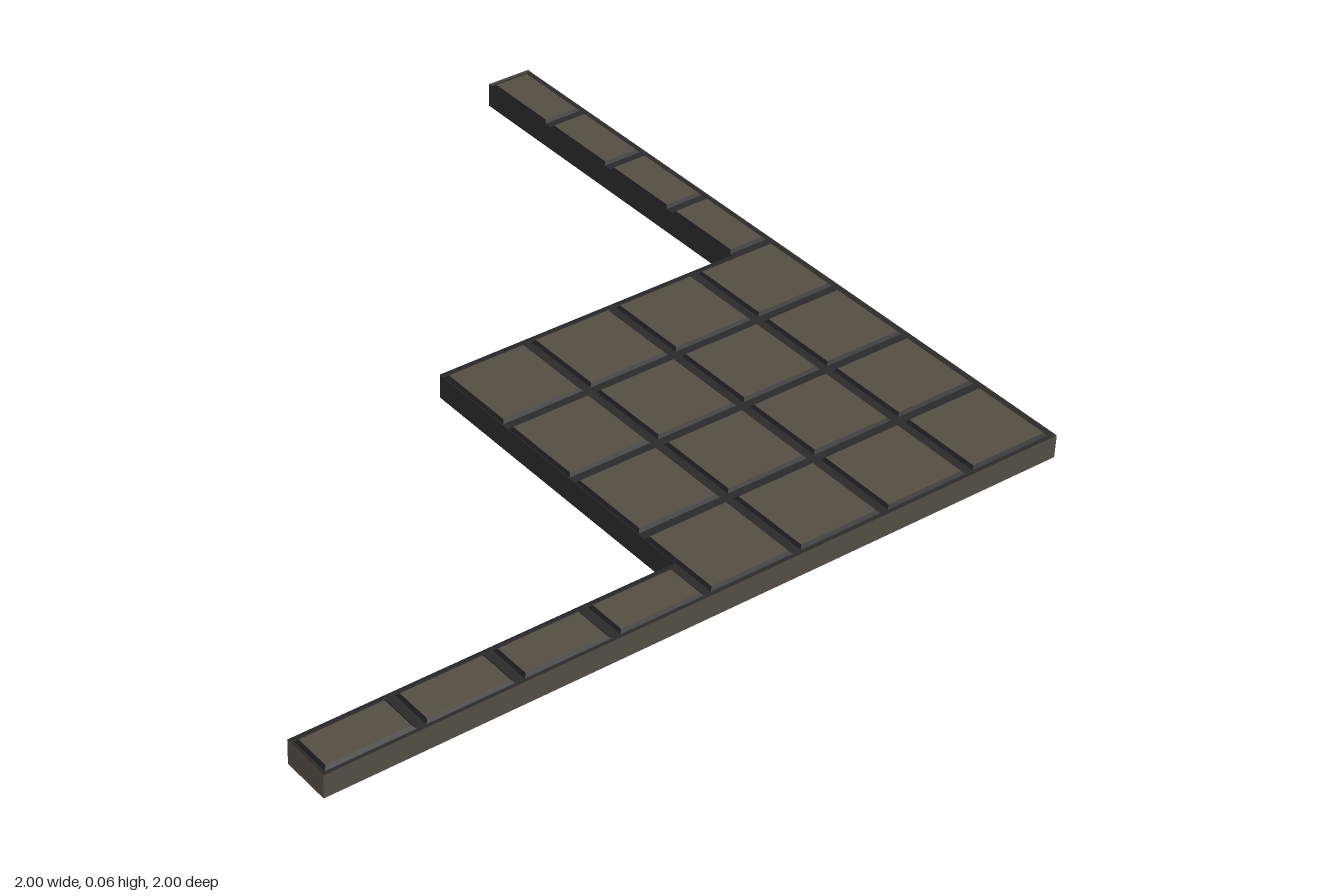
import * as THREE from 'three';

const stone = new THREE.MeshStandardMaterial({ color: 0x544e44 });
stone.name = 'stone';
const grout = new THREE.MeshStandardMaterial({ color: 0x2b2b2c });
grout.name = 'dark grout';
const edge = new THREE.MeshStandardMaterial({ color: 0x1b1b1d });
edge.name = 'tile edge';

const FLOOR = 0.058, TOP = 0.065, INNER = 0.87;

// Plan corners as [x, z], each with the colour of the wall that starts there
const OUTLINE = [
  [-1, 1, stone], [1, 1, stone], [1, -1, stone], [INNER, -1, grout],
  [INNER, 0, grout], [0, 0, grout], [0, INNER, grout], [-1, INNER, stone],
];

// Flat plan-shaped face, looking up (+1) or down (-1)
function planFace(name, y, facing, material) {
  const shape = new THREE.Shape(OUTLINE.map(([x, z]) => new THREE.Vector2(x, -z * facing)));
  const geometry = new THREE.ShapeGeometry(shape).rotateX(-facing * Math.PI / 2).translate(0, y, 0);
  const mesh = new THREE.Mesh(geometry, material);
  mesh.name = name;
  return mesh;
}

// Raised tile with sloping dark edges and a stone top
function tile(x0, x1, z0, z1) {
  const w = x1 - x0, d = z1 - z0, bevel = 0.007;
  const geometry = new THREE.BoxGeometry(w, TOP - FLOOR, d);
  const p = geometry.attributes.position;
  for (let i = 0; i < p.count; i++) {
    if (p.getY(i) > 0) {
      p.setX(i, p.getX(i) * (1 - 2 * bevel / w));
      p.setZ(i, p.getZ(i) * (1 - 2 * bevel / d));
    }
  }
  geometry.computeVertexNormals();
  const mesh = new THREE.Mesh(geometry, [edge, edge, stone, edge, edge, edge]);
  mesh.name = 'tile';
  mesh.position.set((x0 + x1) / 2, (FLOOR + TOP) / 2, (z0 + z1) / 2);
  return mesh;
}

export function createModel() {
  const model = new THREE.Group();
  model.name = 'tiledCornerFloor';
  model.add(planFace('groutBed', FLOOR, 1, grout), planFace('underside', 0, -1, stone));

  // Walls around the plan; the inner ones stand a little taller
  const walls = new THREE.Group();
  walls.name = 'walls';
  OUTLINE.forEach(([x, z, material], i) => {
    const [nx, nz] = OUTLINE[(i + 1) % OUTLINE.length];
    const height = i < 2 ? 0.061 : TOP;
    const side = material === grout || i < 2 ? THREE.DoubleSide : THREE.FrontSide;
    material.side = Math.max(material.side, side);
    const wall = new THREE.Mesh(new THREE.PlaneGeometry(Math.hypot(nx - x, nz - z), height), material);
    wall.name = material === grout ? 'innerWall' : 'outerWall';
    wall.position.set((x + nx) / 2, height / 2, (z + nz) / 2);
    wall.rotation.y = Math.atan2(z - nz, nx - x);
    walls.add(wall);
  });
  model.add(walls);

  // Four by four square of tiles, and one row of four on each arm
  const tiles = new THREE.Group();
  tiles.name = 'tiles';
  for (let i = 0; i < 4; i++) {
    const a = i * 0.25 + 0.008;
    for (let j = 0; j < 4; j++) {
      const b = j * 0.25 + 0.008;
      tiles.add(tile(a, a + 0.228, b, b + 0.228));
    }
    const c = a - 1;
    tiles.add(tile(c + 0.004, c + 0.23, 0.876, 0.988));
    tiles.add(tile(0.876, 0.988, c, c + 0.228));
  }
  model.add(tiles);
  return model;
}
